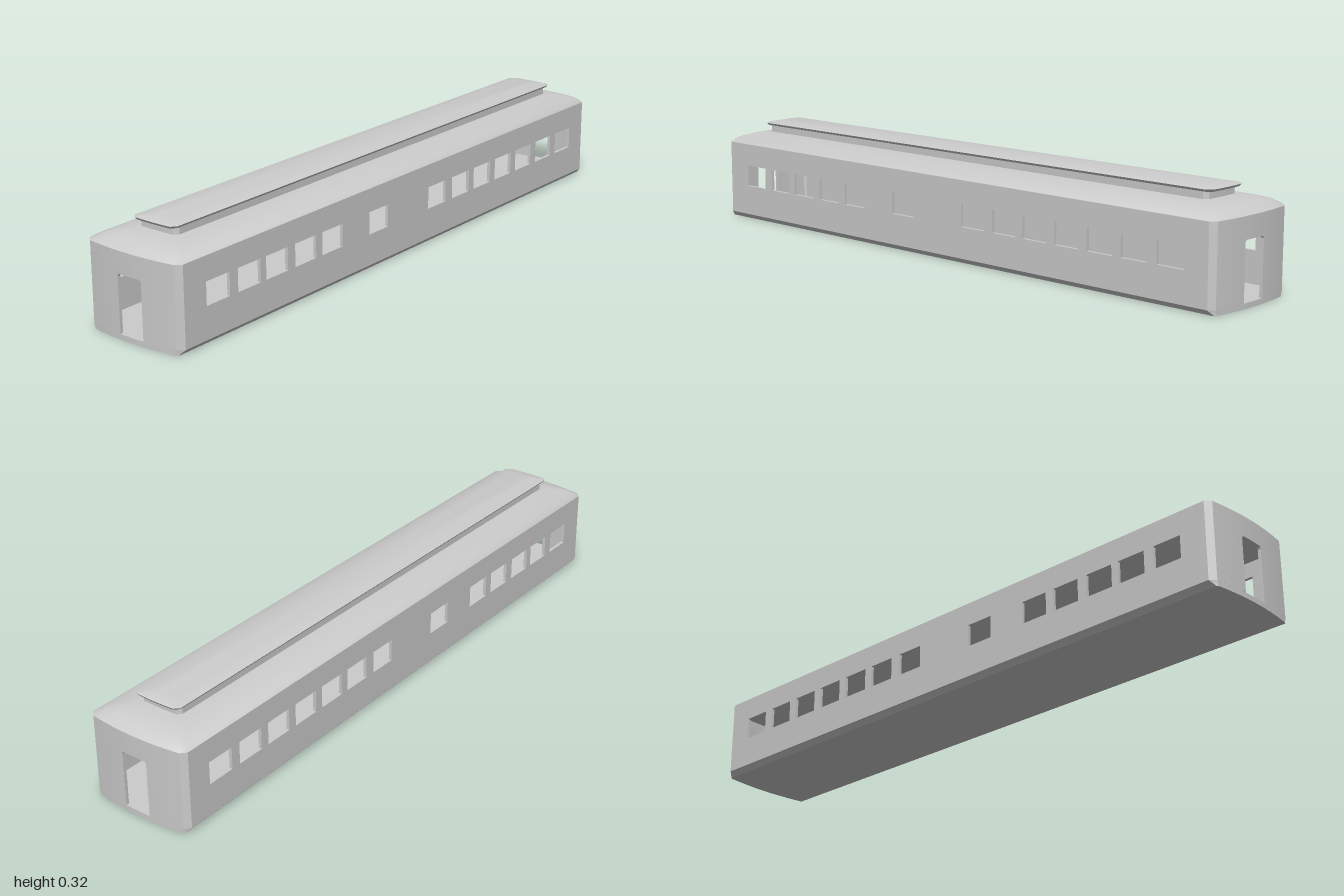
import * as THREE from 'three';
import { toCreasedNormals } from 'three/addons/utils/BufferGeometryUtils.js';

const HALF_W = 0.167, CHAMFER = 0.016, BOW = 0.012, WALL = 0.01;
const SILL = 0.016, EAVES = 0.226, DOOR_W = 0.042, DOOR_TOP = 0.186;

// Plan outline: long rectangle with chamfered corners and bowed ends
function outline(hx, hz, y, c = CHAMFER, bow = BOW) {
  const pts = [], n = 8, w = hz - c;
  for (const s of [1, -1]) {
    pts.push([s * (hx - bow - c), y, s * hz]);
    for (let i = 0; i <= n; i++) {
      const t = 1 - 2 * i / n;
      pts.push([s * (hx - bow * t * t), y, s * t * w]);
    }
    pts.push([s * (hx - bow - c), y, -s * hz]);
  }
  return pts;
}

// Closed skin over a stack of outlines, bottom to top
function loft(rings, crease = 0.45) {
  const pos = [], n = rings[0].length;
  const bottom = rings[0], top = rings[rings.length - 1];
  for (let i = 0; i < n; i++) {
    const j = (i + 1) % n;
    for (let r = 0; r < rings.length - 1; r++) {
      const a = rings[r], b = rings[r + 1];
      pos.push(...a[i], ...a[j], ...b[j], ...a[i], ...b[j], ...b[i]);
    }
    pos.push(0, top[0][1], 0, ...top[i], ...top[j]);
    pos.push(0, bottom[0][1], 0, ...bottom[j], ...bottom[i]);
  }
  const g = new THREE.BufferGeometry();
  g.setAttribute('position', new THREE.Float32BufferAttribute(pos, 3));
  return toCreasedNormals(g, crease);
}

// Long wall with a row of window openings
function sideWall() {
  const L = 1 - BOW - CHAMFER;
  const s = new THREE.Shape();
  s.moveTo(-L, SILL).lineTo(L, SILL).lineTo(L, EAVES).lineTo(-L, EAVES).closePath();
  const centres = [-0.844, -0.722, -0.609, -0.488, -0.37, -0.157,
    0.133, 0.257, 0.374, 0.492, 0.61, 0.729, 0.85];
  for (const x of centres) {
    const h = new THREE.Path();
    h.moveTo(x - 0.045, 0.111).lineTo(x - 0.045, 0.179)
      .lineTo(x + 0.045, 0.179).lineTo(x + 0.045, 0.111).closePath();
    s.holes.push(h);
  }
  return new THREE.ExtrudeGeometry(s, { depth: WALL, bevelEnabled: false });
}

// Upright strip of end wall from z0 to z1, bent to follow the plan outline
function endStrip(z0, z1, segments, bottomAt) {
  const g = new THREE.BoxGeometry(1, 1, 1, 1, 1, segments);
  const p = g.attributes.position, w = HALF_W - CHAMFER;
  for (let i = 0; i < p.count; i++) {
    const z = z0 + (p.getZ(i) + 0.5) * (z1 - z0), a = Math.abs(z);
    const face = a <= w ? 1 - BOW * (z / w) ** 2 : 1 - BOW - (a - w);
    p.setXYZ(i, face - (p.getX(i) < 0 ? WALL : 0), p.getY(i) < 0 ? bottomAt(z) : EAVES, z);
  }
  g.computeVertexNormals();
  return g;
}

export function createModel() {
  const model = new THREE.Group();
  const grey = new THREE.MeshStandardMaterial({ color: 0xcccccc });
  const add = (parent, name, geometry) => {
    const m = new THREE.Mesh(geometry, grey);
    m.name = name;
    parent.add(m);
    return m;
  };

  // Floor, bevelled inwards along its long sides
  add(model, 'floor', loft([
    outline(1, HALF_W - 0.015, 0, 0.004),
    outline(1, HALF_W - 0.013, 0.003, 0.006),
    outline(1, HALF_W, SILL),
  ]));

  // Long walls
  const wall = sideWall();
  add(model, 'leftSideWall', wall).position.z = HALF_W - WALL;
  add(model, 'rightSideWall', wall).position.z = -HALF_W;

  // End walls: corner posts, door jambs and a header with a rounded door opening
  const toSill = () => SILL;
  const r = 0.008, w = HALF_W - CHAMFER;
  const doorHead = (z) => {
    const d = Math.max(0, Math.abs(z) - (DOOR_W - r));
    return DOOR_TOP - r + Math.sqrt(Math.max(0, r * r - d * d));
  };
  for (const [name, turn] of [['leftEndWall', 0], ['rightEndWall', Math.PI]]) {
    const end = new THREE.Group();
    end.name = name;
    end.rotation.y = turn;
    add(end, 'doorHeader', endStrip(-DOOR_W, DOOR_W, 42, doorHead));
    for (const s of [-1, 1]) {
      const span = (a, b) => (s > 0 ? [a, b] : [-b, -a]);
      add(end, 'doorJamb', endStrip(...span(DOOR_W, w), 8, toSill));
      add(end, 'cornerPost', endStrip(...span(w, HALF_W), 1, toSill));
    }
    model.add(end);
  }

  // Main roof: [height, inset] steps rising to a flat top with hipped ends
  const roofSteps = [[0.225, 0], [0.25, 0], [0.258, 0.01], [0.267, 0.025], [0.276, 0.053], [0.283, 0.082]];
  add(model, 'roof', loft(roofSteps.map(([y, inset]) => outline(1 - inset, HALF_W - inset, y)), 0.6));

  // Raised centre roof and its overhanging cap
  add(model, 'clerestoryWall', loft([
    outline(0.893, 0.069, 0.28, 0.012, 0.002),
    outline(0.893, 0.069, 0.306, 0.012, 0.002),
  ]));
  add(model, 'clerestoryCap', loft([
    outline(0.906, 0.072, 0.304, 0.014, 0.002),
    outline(0.911, 0.077, 0.311, 0.014, 0.002),
    outline(0.905, 0.07, 0.3135, 0.014, 0.002),
    outline(0.872, 0.037, 0.32, 0.012, 0.002),
  ], 0.6));

  return model;
}
